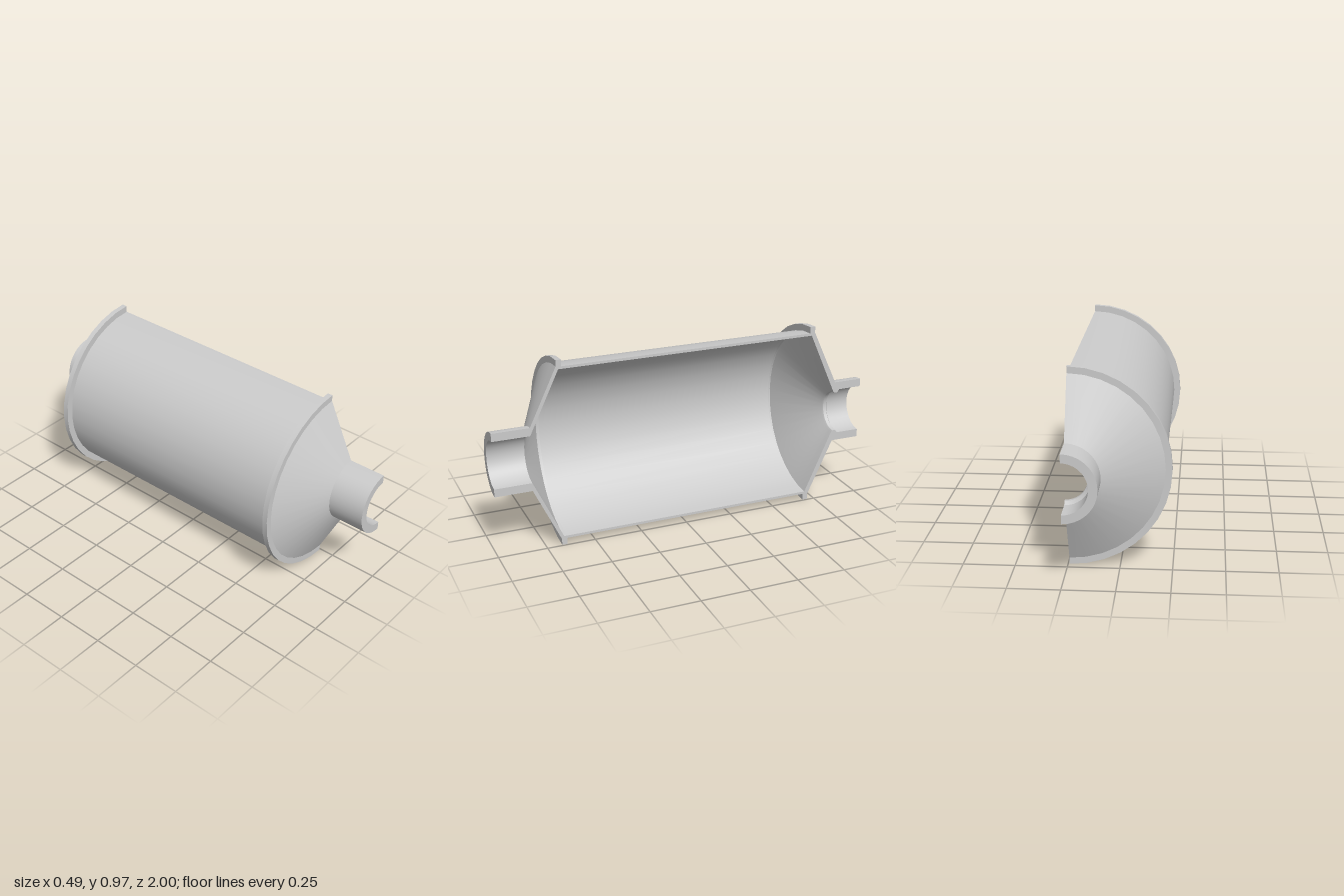
import * as THREE from 'three';
import { toCreasedNormals } from 'three/addons/utils/BufferGeometryUtils.js';

const SEGMENTS = 18;          // over the half turn
const AXIS_X = 0.243, AXIS_Y = 0.488;

// Half-turn solid from a closed [z, r] section: outer line towards +z, inner line back.
function halfTurned(name, section, material) {
  const group = new THREE.Group();
  group.name = name;

  const ring = [...section, section[0]].map(([z, r]) => new THREE.Vector2(r, z));
  const wall = new THREE.LatheGeometry(ring, SEGMENTS, Math.PI, Math.PI).rotateX(Math.PI / 2);
  const wallMesh = new THREE.Mesh(toCreasedNormals(wall, 0.35), material);
  wallMesh.name = name + 'Wall';
  group.add(wallMesh);

  // flat cut faces above and below the axis, facing +x
  for (const side of [1, -1]) {
    const shape = new THREE.Shape(section.map(([z, r]) => new THREE.Vector2(-z, side * r)));
    const cut = new THREE.Mesh(new THREE.ShapeGeometry(shape).rotateY(Math.PI / 2), material);
    cut.name = name + (side > 0 ? 'UpperCutFace' : 'LowerCutFace');
    group.add(cut);
  }
  return group;
}

export function createModel() {
  const model = new THREE.Group();
  model.name = 'sectionedChamber';
  const grey = new THREE.MeshStandardMaterial({ color: 0xcccccc });

  // thin cylindrical shell
  const shell = [[-0.685, 0.453], [0.645, 0.453], [0.645, 0.44], [-0.685, 0.44]];

  // front flange, cone and pipe
  const frontEnd = [
    [0.645, 0.44], [0.645, 0.487], [0.672, 0.487], [0.672, 0.455],
    [0.81, 0.165], [1, 0.165], [1, 0.123], [0.81, 0.123], [0.66, 0.44],
  ];

  // rear flange, cone and pipe with an inner stop lip
  const rearEnd = [
    [-1, 0.165], [-0.848, 0.165], [-0.713, 0.455], [-0.713, 0.487],
    [-0.685, 0.487], [-0.685, 0.44], [-0.695, 0.44], [-0.84, 0.115],
    [-0.846, 0.107], [-0.864, 0.107], [-0.875, 0.123], [-1, 0.123],
  ];

  model.add(
    halfTurned('shell', shell, grey),
    halfTurned('frontEnd', frontEnd, grey),
    halfTurned('rearEnd', rearEnd, grey),
  );
  for (const part of model.children) part.position.set(AXIS_X, AXIS_Y, 0);
  return model;
}
